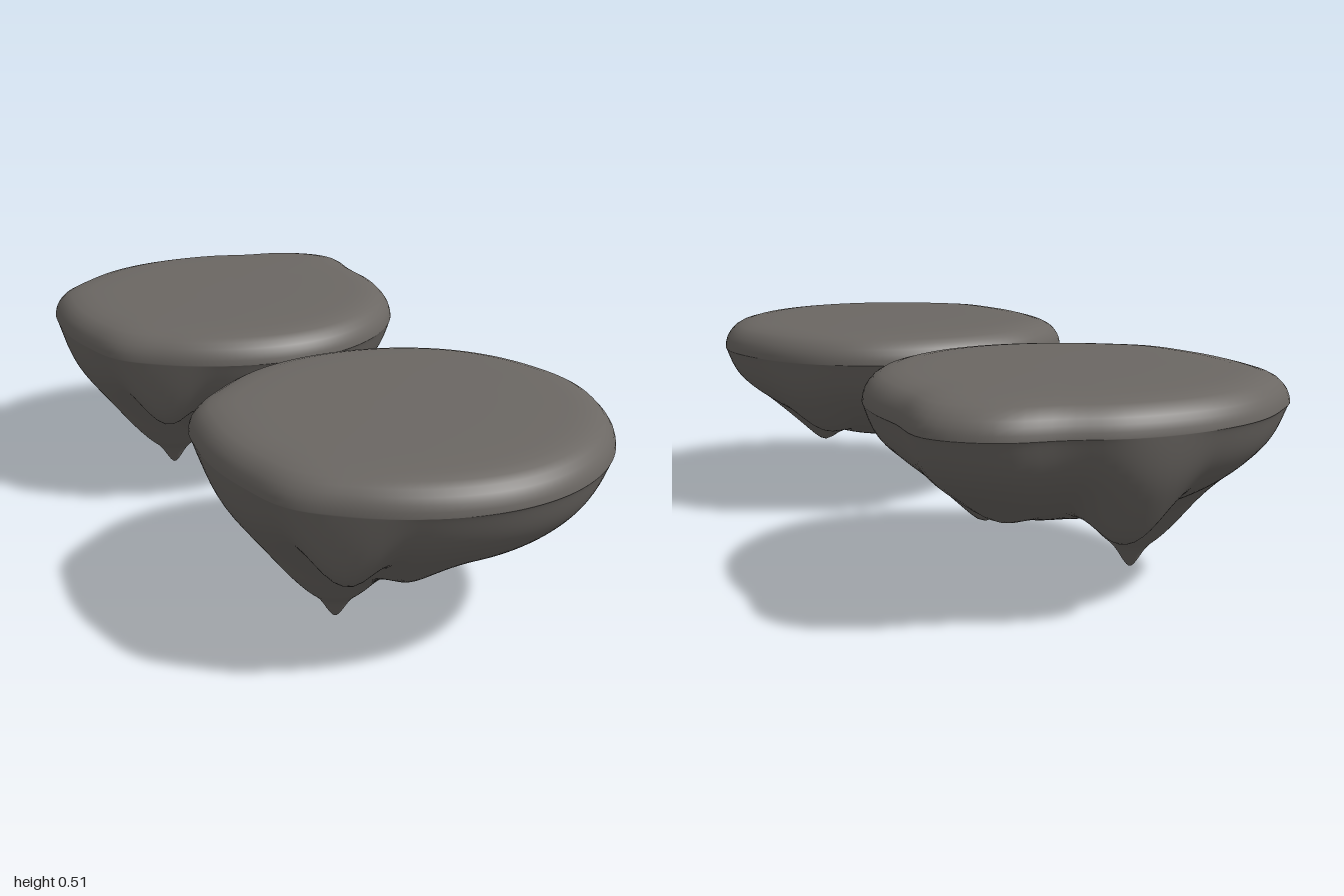
import * as THREE from 'three';

// Rim radius every 15 degrees, from +x towards +z
const plainRim = [.475, .468, .466, .465, .467, .47, .472, .473, .477, .486, .503, .488,
  .487, .495, .513, .495, .488, .48, .475, .475, .478, .48, .477, .473];
const lobedRim = plainRim.slice();
[.48, .49, .545, .56, .495].forEach((r, i) => { lobedRim[19 + i] = r; });

// Hanging points under the rock: x, z, lowest y, slope, roundness, blend
const points = [
  [.165, .08, .135, 1.0, .02, .05],
  [.03, -.31, .162, 2.2, .1, .06],
  [-.11, .18, .16, 1.2, .06, .06],
  [-.30, .27, .23, 1.6, .06, .05],
  [.25, -.18, .22, 1.6, .08, .06],
  [-.19, 0, .042, 1.5, .09, .08],
  [-.19, 0, 0, 1.8, .012, .015],
];

// Smooth radius at any angle, wrapping round the table
function radiusAt(table, angle) {
  const n = table.length;
  const f = ((angle / (Math.PI * 2)) % 1 + 1) % 1 * n;
  const i = Math.floor(f), t = f - i;
  const [a, b, c, d] = [-1, 0, 1, 2].map(k => table[(i + k + n) % n]);
  return b + .5 * t * (c - a + t * (2 * a - 5 * b + 4 * c - d + t * (3 * (b - c) + d - a)));
}

function smoothMin(a, b, k) {
  const h = Math.max(k - Math.abs(a - b), 0) / k;
  return Math.min(a, b) - h * h * k * .25;
}

// Height of the underside: a rounded bowl pulled down at the hanging points
function undersideY(x, z, rim) {
  const q = Math.min(1, Math.hypot(x, z) / radiusAt(rim, Math.atan2(z, x)));
  let y = .43 - .265 * Math.pow(1 - q * q, .6);
  // Shallow hollow on the +x side
  y += .03 * Math.exp(-((x - .35) ** 2 + (z - .06) ** 2) / .02) * (1 - q ** 6);
  for (const [px, pz, low, slope, round, blend] of points) {
    const d = Math.hypot(x - px, z - pz);
    y = smoothMin(y, low + slope * (Math.hypot(d, round) - round), blend);
  }
  return Math.max(0, THREE.MathUtils.lerp(y, .43, q ** 40));
}

function rockGeometry(rim) {
  const around = 120, rings = 56;
  // Upper rounding: fraction of the rim radius, height
  const top = [[.996, .443], [.986, .457], [.968, .47], [.942, .483], [.905, .493],
    [.85, .5], [.78, .504], [.65, .506], [.4, .508], [0, .508]];
  const [tipX, tipZ] = points[points.length - 1];
  const position = [], index = [];
  const rows = rings + 1 + top.length;
  for (let i = 0; i < rows; i++) {
    for (let j = 0; j < around; j++) {
      const angle = j / around * Math.PI * 2;
      const r = radiusAt(rim, angle);
      const ex = r * Math.cos(angle), ez = r * Math.sin(angle);
      if (i <= rings) {
        // Rings spread from the lowest tip out to the rim
        const t = (1 - Math.cos(Math.PI * i / rings)) / 2;
        const x = tipX + (ex - tipX) * t, z = tipZ + (ez - tipZ) * t;
        position.push(x, undersideY(x, z, rim), z);
      } else {
        const [s, y] = top[i - rings - 1];
        position.push(ex * s, y, ez * s);
      }
      if (i < rows - 1) {
        const k = (j + 1) % around;
        const a = i * around + j, b = i * around + k, c = a + around, d = b + around;
        if (i > 0) index.push(a, c, b);
        if (i < rows - 2) index.push(b, c, d);
      }
    }
  }
  const geometry = new THREE.BufferGeometry();
  geometry.setAttribute('position', new THREE.Float32BufferAttribute(position, 3));
  geometry.setIndex(index);
  geometry.computeVertexNormals();
  // Shared normals at the two poles
  const normal = geometry.attributes.normal;
  for (let j = 0; j < around; j++) {
    normal.setXYZ(j, 0, -1, 0);
    normal.setXYZ((rows - 1) * around + j, 0, 1, 0);
  }
  return geometry;
}

export function createModel() {
  const group = new THREE.Group();
  group.name = 'floatingRocks';
  const stone = new THREE.MeshStandardMaterial({ color: 0x6b6763 });
  stone.name = 'grey stone';
  for (const [name, rim, z] of [['frontRock', plainRim, .525], ['backRock', lobedRim, -.525]]) {
    const rock = new THREE.Mesh(rockGeometry(rim), stone);
    rock.name = name;
    rock.position.z = z;
    group.add(rock);
  }
  return group;
}
